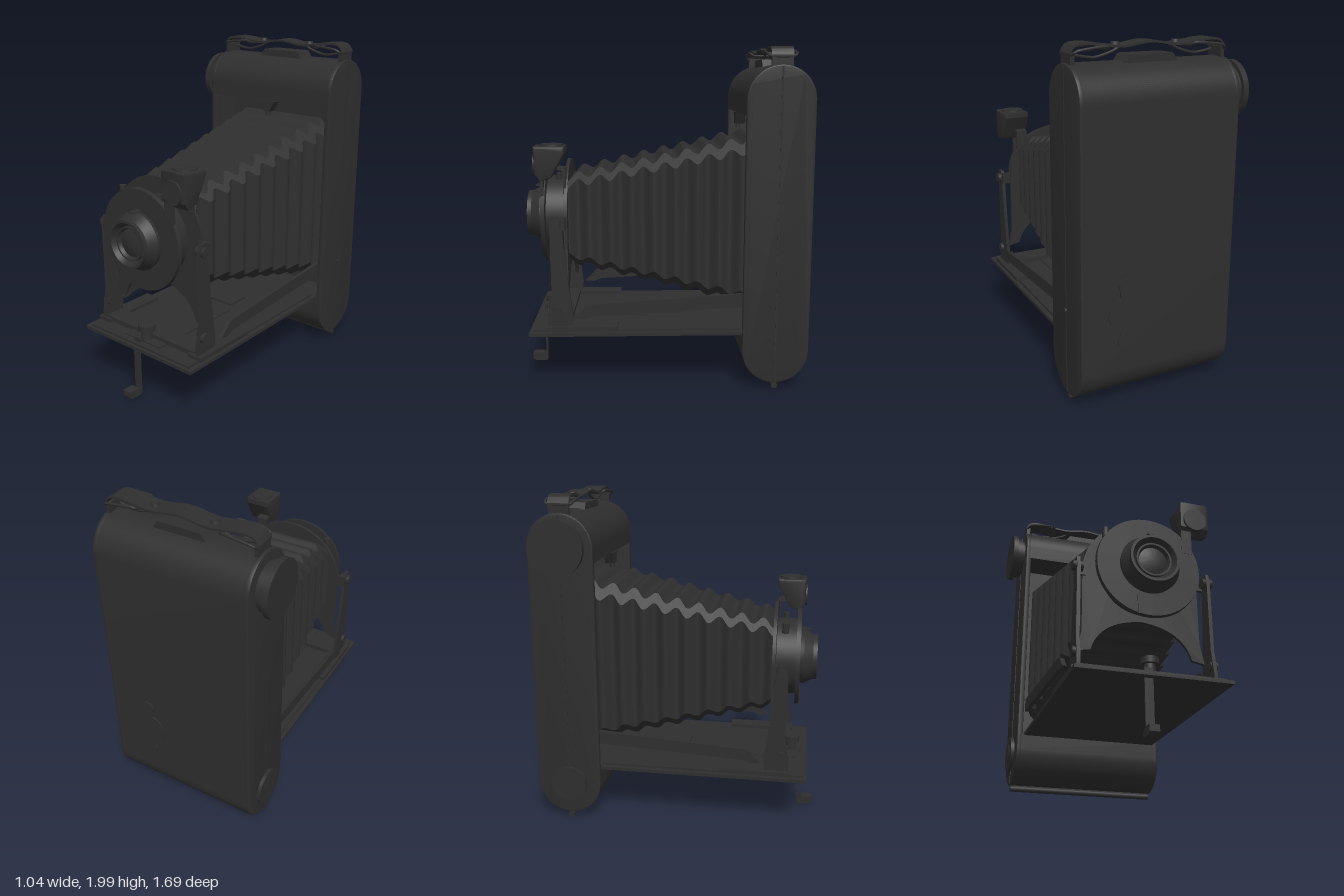
import * as THREE from 'three';
import { toCreasedNormals } from 'three/addons/utils/BufferGeometryUtils.js';

const mat = new THREE.MeshStandardMaterial({ color: 0x2e2e2e, side: THREE.DoubleSide });
const CX = 0.04, CZ = -0.645, LY = 0.985; // body centre line, body mid depth, lens height

export function createModel() {
  const model = new THREE.Group();
  const add = (name, geo, x = 0, y = 0, z = 0) => {
    const m = new THREE.Mesh(geo, mat);
    m.name = name;
    m.position.set(x, y, z);
    model.add(m);
    return m;
  };
  // box given by its limits
  const box = (name, x0, x1, y0, y1, z0, z1) =>
    add(name, new THREE.BoxGeometry(x1 - x0, y1 - y0, z1 - z0), (x0 + x1) / 2, (y0 + y1) / 2, (z0 + z1) / 2);
  const disc = (name, axis, r0, r1, len, x, y, z, seg = 48) => {
    const g = new THREE.CylinderGeometry(r1, r0, len, seg);
    if (axis === 'x') g.rotateZ(-Math.PI / 2);
    if (axis === 'z') g.rotateX(Math.PI / 2);
    return add(name, g, x, y, z);
  };
  const poly = (pts) => new THREE.Shape(pts.map((p) => new THREE.Vector2(...p)));
  const extrude = (shape, depth, bevel = 0) => toCreasedNormals(new THREE.ExtrudeGeometry(shape, {
    depth: depth - 2 * bevel, curveSegments: 28, bevelEnabled: bevel > 0,
    bevelSize: bevel, bevelOffset: -bevel, bevelThickness: bevel, bevelSegments: 2,
  }).translate(0, 0, bevel), 0.5);
  // profile drawn in (z, y), extruded along x from x0 to x1
  const side = (name, shape, x0, x1, bevel) => add(name, extrude(shape, x1 - x0, bevel).rotateY(-Math.PI / 2), x1);
  // tube through points
  const wire = (name, pts, r, closed = false) => add(name, new THREE.TubeGeometry(
    new THREE.CatmullRomCurve3(pts.map((p) => new THREE.Vector3(...p)), closed, 'catmullrom', 0.4), 48, r, 8, closed));

  // ---- body: rounded case with a recess for the bellows, closed by end plates
  const caseProfile = (open) => {
    const s = new THREE.Shape();
    s.moveTo(-0.45, 1.61);
    s.lineTo(-0.45, 1.695);
    s.absarc(CZ, 1.695, 0.195, 0, Math.PI, false);
    s.lineTo(-0.84, 0.235);
    s.absarc(CZ, 0.235, 0.195, Math.PI, 2 * Math.PI, false);
    s.lineTo(-0.45, 0.33);
    if (open) { s.lineTo(-0.67, 0.33); s.lineTo(-0.67, 1.61); }
    s.closePath();
    return s;
  };
  side('caseShell', caseProfile(true), -0.41, 0.485);
  side('endPlate', caseProfile(false), -0.435, -0.4, 0.008);
  side('endPlate', caseProfile(false), 0.475, 0.51, 0.008);
  for (const x of [-0.436, 0.511]) box('endSeam', x - 0.002, x + 0.002, 0.05, 1.88, CZ - 0.005, CZ + 0.005);
  disc('hingeRod', 'x', 0.018, 0.018, 0.93, 0.035, 0.019, CZ, 16);
  box('hingeWeb', -0.43, 0.5, 0.02, 0.05, CZ - 0.006, CZ + 0.006);

  // ---- knobs on the ends
  disc('windingCollar', 'x', 0.13, 0.13, 0.03, -0.445, 1.7, CZ);
  disc('windingStep', 'x', 0.14, 0.14, 0.04, -0.47, 1.7, CZ);
  disc('windingKnob', 'x', 0.162, 0.162, 0.034, -0.503, 1.7, CZ);
  disc('spoolCap', 'x', 0.11, 0.11, 0.022, -0.445, 0.24, CZ);
  disc('spoolCapCentre', 'x', 0.06, 0.055, 0.008, -0.459, 0.24, CZ);
  disc('releaseButton', 'x', 0.015, 0.015, 0.012, 0.515, 0.55, CZ, 16);

  // ---- window cover on the back
  disc('backWindow', 'z', 0.1, 0.1, 0.012, 0.25, 0.56, -0.842);
  box('backWindowStrap', 0.22, 0.28, 0.41, 0.71, -0.848, -0.838);
  for (const y of [0.4, 0.72]) disc('backWindowPivot', 'z', 0.04, 0.04, 0.014, 0.25, y, -0.842, 24);

  // ---- carrying strap
  add('strapBase', extrude(poly([[-0.12, 1.88], [0.2, 1.88], [0.17, 1.922], [-0.09, 1.922]]), 0.13), 0, 0, CZ - 0.065);
  const strapLine = new THREE.SplineCurve([[-0.42, 1.93], [-0.385, 1.972], [-0.3, 1.978], [-0.13, 1.958], [0.04, 1.978],
    [0.21, 1.958], [0.38, 1.978], [0.465, 1.972], [0.5, 1.93]].map((p) => new THREE.Vector2(...p))).getPoints(50);
  add('strap', extrude(poly([...strapLine.map((p) => [p.x, p.y]),
    ...strapLine.reverse().map((p) => [p.x, p.y + 0.012])]), 0.125), 0, 0, CZ - 0.0625);
  for (const s of [-1, 1]) {
    const X = (d) => CX + s * d;
    disc('strapRivet', 'y', 0.028, 0.022, 0.022, X(0.18), 1.975, CZ, 24);
    wire('strapRing', [[X(0.45), 1.935, CZ - 0.06], [X(0.42), 1.955, CZ - 0.085], [X(0.27), 1.97, CZ - 0.08],
      [X(0.25), 1.955, CZ - 0.05], [X(0.25), 1.955, CZ + 0.05], [X(0.27), 1.97, CZ + 0.08],
      [X(0.42), 1.955, CZ + 0.085], [X(0.45), 1.935, CZ + 0.06]], 0.008, true);
    wire('strapTongue', [[X(0.41), 1.925, CZ], [X(0.3), 1.91, CZ], [X(0.2), 1.935, CZ], [X(0.15), 1.96, CZ]], 0.008);
    box('strapLug', X(0.445) - 0.012, X(0.445) + 0.012, 1.86, 1.94, CZ - 0.06, CZ + 0.06);
  }
  add('catch', extrude(poly([[-0.02, 1.61], [0.02, 1.54], [0.06, 1.54], [0.1, 1.61]]), 0.06), 0, 0, -0.5);
  disc('catchPin', 'y', 0.015, 0.015, 0.04, CX, 1.535, -0.46, 16);

  // ---- bellows: octagonal rings, sides and top folding in opposite phase
  const pos = [], idx = [], rings = 148, z0 = 0.575, z1 = -0.62;
  for (let i = 0; i <= rings; i++) {
    const z = z0 + (z1 - z0) * i / rings, w = Math.cos(2 * Math.PI * z / 0.1275);
    const hx = 0.315 - 0.105 * z - 0.021 * w, hy = 0.38 - 0.225 * z + 0.021 * w;
    const c = 0.05 - 0.02 * z, yc = 0.98 + 0.005 * z;
    for (const [x, y] of [[hx, hy - c], [hx - c, hy], [c - hx, hy], [-hx, hy - c],
      [-hx, c - hy], [c - hx, -hy], [hx - c, -hy], [hx, c - hy]]) pos.push(CX + x, yc + y, z);
    if (i < rings) for (let k = 0; k < 8; k++) {
      const a = i * 8 + k, b = i * 8 + (k + 1) % 8;
      idx.push(a, a + 8, b, b, a + 8, b + 8);
    }
  }
  const bellows = new THREE.BufferGeometry();
  bellows.setAttribute('position', new THREE.Float32BufferAttribute(pos, 3));
  bellows.setIndex(idx);
  add('bellows', toCreasedNormals(bellows, 0.6));

  // ---- drop bed with rails
  box('bed', -0.39, 0.47, 0.322, 0.342, -0.5, 0.8);
  box('bedInlay', -0.36, 0.44, 0.34, 0.354, -0.45, 0.78);
  box('bedBlock', -0.06, 0.14, 0.35, 0.367, -0.11, 0.04);
  box('focusTrack', -0.1, 0.18, 0.35, 0.362, 0.1, 0.74);
  disc('focusPost', 'y', 0.035, 0.03, 0.07, CX, 0.385, 0.7, 24);
  disc('focusKnob', 'y', 0.05, 0.05, 0.035, CX, 0.435, 0.7, 24);
  box('standardBase', -0.33, 0.41, 0.355, 0.385, 0.56, 0.68);

  // ---- fold-out foot under the bed
  box('footStrip', -0.012, 0.036, 0.01, 0.38, 0.75, 0.76);
  add('footPad', extrude(poly([[0.755, 0.005], [0.83, 0.005], [0.845, 0.02], [0.845, 0.055], [0.775, 0.055],
    [0.755, 0.03]]), 0.055).rotateY(-Math.PI / 2), 0.03);

  // ---- side brackets and braces, mirrored
  const leg = poly([[0.55, 0.36], [0.69, 0.36], [0.69, 0.42], [0.665, 0.56], [0.67, 0.98], [0.655, 1.03],
    [0.615, 1.03], [0.6, 0.98], [0.575, 0.7], [0.54, 0.43]]);
  const brace = poly([[0.53, 0.43], [0.47, 0.425], [0.42, 0.445], [-0.5, 0.495], [-0.5, 0.575], [0.42, 0.515],
    [0.46, 0.5], [0.5, 0.455]]);
  for (const s of [-1, 1]) {
    const mirrored = (name, shape, d0, d1) => side(name, shape, Math.min(CX + s * d0, CX + s * d1), Math.max(CX + s * d0, CX + s * d1));
    mirrored('sideBracket', leg, 0.37, 0.39);
    mirrored('brace', brace, 0.4, 0.425);
    disc('bracketPivot', 'x', 0.03, 0.03, 0.06, CX + s * 0.38, 0.98, 0.635, 24);
    disc('bracketRivet', 'x', 0.03, 0.03, 0.045, CX + s * 0.385, 0.47, 0.64, 24);
    box('bracketArm', CX + s * 0.355 - 0.035, CX + s * 0.355 + 0.035, 0.95, 1.02, 0.58, 0.6);
    box('bracketFoot', CX + s * 0.37 - 0.05, CX + s * 0.37 + 0.05, 0.35, 0.375, 0.28, 0.7);
  }

  // ---- lens board with an arched skirt
  const board = new THREE.Shape();
  board.moveTo(CX + 0.34, LY);
  board.absarc(CX, LY, 0.34, 0, Math.PI, false);
  board.lineTo(-0.3, 0.62);
  board.lineTo(-0.325, 0.5);
  board.lineTo(-0.25, 0.515);
  board.quadraticCurveTo(-0.2, 0.69, CX, 0.71);
  board.quadraticCurveTo(0.28, 0.69, 0.33, 0.515);
  board.lineTo(0.405, 0.5);
  board.lineTo(0.38, 0.62);
  board.closePath();
  add('lensBoard', extrude(board, 0.02), 0, 0, 0.57);

  // ---- shutter and lens
  disc('shutterDrum', 'z', 0.235, 0.235, 0.14, CX, LY, 0.65, 64);
  disc('shutterPlate', 'z', 0.3, 0.296, 0.025, CX, LY, 0.72, 64);
  const barrel = [[0.165, 0.72], [0.17, 0.755], [0.14, 0.81], [0.14, 0.835], [0.125, 0.835], [0.1, 0.8], [0.1, 0.815],
    [0.09, 0.815], [0.08, 0.795], [0.05, 0.805], [0, 0.808]].map((p) => new THREE.Vector2(...p));
  add('lensBarrel', toCreasedNormals(new THREE.LatheGeometry(barrel, 64).rotateX(Math.PI / 2), 0.4), CX, LY, 0);
  for (const x of [-0.18, 0.11]) disc('shutterPin', 'y', 0.02, 0.02, 0.06, x, 1.215, 0.64, 20);
  box('shutterLever', -0.03, -0.01, 0.69, 0.8, 0.715, 0.74);
  box('shutterPointer', CX - 0.02, CX + 0.02, 1.155, 1.165, 0.73, 0.79);

  // ---- reflecting finder on its arm
  side('finderBody', poly([[0.755, 1.43], [0.575, 1.43], [0.575, 1.395], [0.655, 1.25], [0.72, 1.23], [0.75, 1.27]]), 0.235, 0.405, 0.012);
  disc('finderFrontLens', 'z', 0.07, 0.068, 0.02, 0.32, 1.32, 0.752, 40);
  disc('finderTopLens', 'y', 0.07, 0.068, 0.015, 0.32, 1.433, 0.655, 40);
  side('finderArm', poly([[0.58, 1.1], [0.595, 1.1], [0.595, 1.28], [0.69, 1.3], [0.69, 1.315], [0.58, 1.3]]), 0.25, 0.32);
  box('finderStem', 0.24, 0.3, 1.1, 1.26, 0.715, 0.735);
  return model;
}
